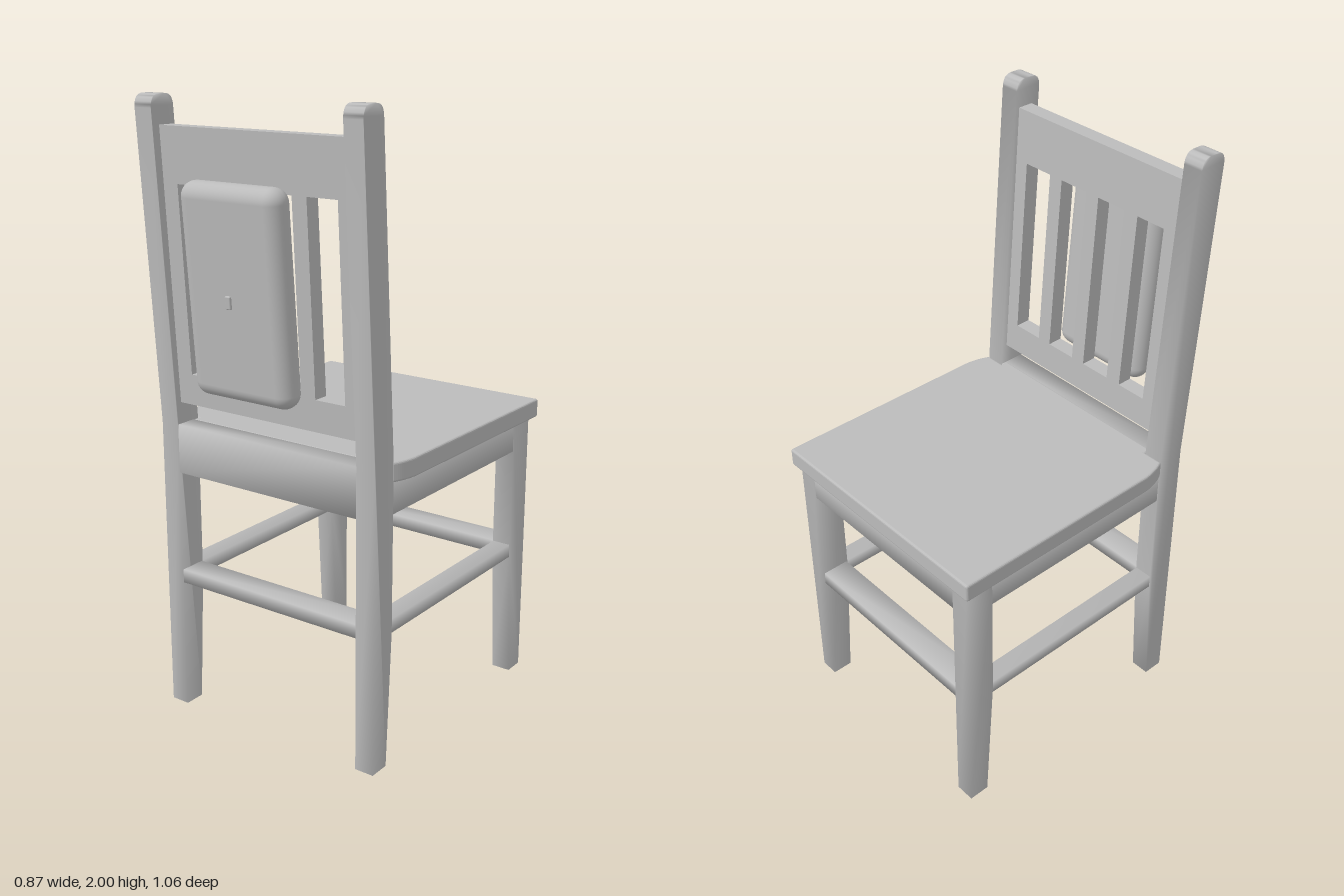
import * as THREE from 'three';
import { RoundedBoxGeometry } from 'three/addons/geometries/RoundedBoxGeometry.js';
import { mergeVertices } from 'three/addons/utils/BufferGeometryUtils.js';

export function createModel() {
  const model = new THREE.Group();
  const grey = new THREE.MeshStandardMaterial({ color: 0xbbbbbb });
  grey.name = 'plain grey';

  const add = (name, geometry, x = 0, y = 0, z = 0) => {
    const mesh = new THREE.Mesh(geometry, grey);
    mesh.name = name;
    mesh.position.set(x, y, z);
    model.add(mesh);
    return mesh;
  };

  // Soft shading that runs across the edges
  const smooth = (geometry) => {
    geometry.deleteAttribute('normal');
    geometry.deleteAttribute('uv');
    const merged = mergeVertices(geometry, 1e-4);
    merged.computeVertexNormals();
    return merged;
  };

  // Straight bar given by its limits on each axis
  const bar = (name, [x0, x1], [y0, y1], [z0, z1]) =>
    add(name, smooth(new THREE.BoxGeometry(x1 - x0, y1 - y0, z1 - z0)),
      (x0 + x1) / 2, (y0 + y1) / 2, (z0 + z1) / 2);

  // Extrude a (z, y) side profile across x, centred on x = 0
  const sideProfile = (shape, width) => {
    const g = new THREE.ExtrudeGeometry(shape, { depth: width, bevelEnabled: false, curveSegments: 8 });
    g.translate(0, 0, -width / 2);
    return smooth(g.rotateY(-Math.PI / 2));
  };

  // Back post: tapered foot, straight middle, leaning top with a rounded end
  const post = new THREE.Shape();
  post.moveTo(0.33, 0);
  post.lineTo(0.4, 0);
  post.lineTo(0.4, 0.98);
  post.lineTo(0.465, 1.96);
  post.quadraticCurveTo(0.465, 2, 0.43, 2);
  post.lineTo(0.405, 2);
  post.quadraticCurveTo(0.373, 2, 0.37, 1.965);
  post.lineTo(0.305, 0.98);
  post.lineTo(0.305, 0.44);
  post.closePath();

  // Front leg: tapered on its inner face
  const leg = new THREE.Shape();
  leg.moveTo(-0.51, 0);
  leg.lineTo(-0.44, 0);
  leg.lineTo(-0.412, 0.46);
  leg.lineTo(-0.412, 0.925);
  leg.lineTo(-0.51, 0.925);
  leg.closePath();

  // Legs, with side aprons and stretchers flush with them
  const stretcherY = [0.44, 0.485];
  for (const [side, s] of [['left', 1], ['right', -1]]) {
    const across = s > 0 ? [0.347, 0.409] : [-0.409, -0.347];
    add(side + 'BackPost', sideProfile(post, 0.065), s * 0.378);
    add(side + 'FrontLeg', sideProfile(leg, 0.065), s * 0.378);
    bar(side + 'Apron', across, [0.82, 0.925], [-0.412, 0.305]);
    bar(side + 'Stretcher', across, stretcherY, [-0.414, 0.307]);
  }

  // Aprons and stretchers running across
  const span = [-0.346, 0.346];
  bar('frontApron', span, [0.82, 0.925], [-0.508, -0.414]);
  bar('backApron', span, [0.82, 0.98], [0.307, 0.398]);
  bar('frontStretcher', span, stretcherY, [-0.508, -0.416]);
  bar('backStretcher', span, stretcherY, [0.309, 0.398]);

  // Seat board, notched around the posts
  const seat = new THREE.Shape();
  seat.moveTo(-0.425, -0.53);
  seat.lineTo(0.425, -0.53);
  seat.quadraticCurveTo(0.435, -0.53, 0.435, -0.52);
  seat.lineTo(0.435, 0.22);
  seat.quadraticCurveTo(0.43, 0.27, 0.412, 0.305);
  seat.lineTo(0.345, 0.305);
  seat.lineTo(0.345, 0.33);
  seat.lineTo(-0.345, 0.33);
  seat.lineTo(-0.345, 0.305);
  seat.lineTo(-0.412, 0.305);
  seat.quadraticCurveTo(-0.43, 0.27, -0.435, 0.22);
  seat.lineTo(-0.435, -0.52);
  seat.quadraticCurveTo(-0.435, -0.53, -0.425, -0.53);
  const seatGeometry = new THREE.ExtrudeGeometry(seat, {
    depth: 0.048, bevelThickness: 0.007, bevelSize: 0.007, bevelOffset: -0.007, bevelSegments: 3,
  });
  add('seat', seatGeometry.rotateX(Math.PI / 2), 0, 0.974, 0);

  // Backrest: rails and slats cut from one board, sheared to follow the posts
  const rect = (path, x0, x1, y0, y1) => {
    path.moveTo(x0, y0);
    path.lineTo(x1, y0);
    path.lineTo(x1, y1);
    path.lineTo(x0, y1);
    path.closePath();
    return path;
  };
  const board = rect(new THREE.Shape(), -0.35, 0.35, 1.05, 1.91);
  for (const [x0, x1] of [[-0.29, -0.185], [-0.13, -0.022], [0.03, 0.138], [0.19, 0.297]]) {
    board.holes.push(rect(new THREE.Path(), x0, x1, 1.15, 1.74));
  }
  const back = new THREE.ExtrudeGeometry(board, { depth: 0.052, bevelEnabled: false });
  const p = back.attributes.position;
  for (let i = 0; i < p.count; i++) {
    p.setZ(i, p.getZ(i) + 0.329 + 0.06 * (p.getY(i) - 1.05));
  }
  back.computeVertexNormals();
  add('backrest', back);

  // Padded block hung behind the slats, with a small catch
  const pad = new THREE.Group();
  pad.name = 'backPad';
  pad.position.set(-0.016, 1.447, 0.465);
  pad.rotation.x = 0.08;
  const block = new THREE.Mesh(new RoundedBoxGeometry(0.367, 0.645, 0.093, 5, 0.045), grey);
  block.name = 'padBlock';
  const catchPiece = new THREE.Mesh(new RoundedBoxGeometry(0.02, 0.04, 0.02, 2, 0.004), grey);
  catchPiece.name = 'padCatch';
  catchPiece.position.set(-0.008, -0.012, 0.044);
  pad.add(block, catchPiece);
  model.add(pad);

  return model;
}
